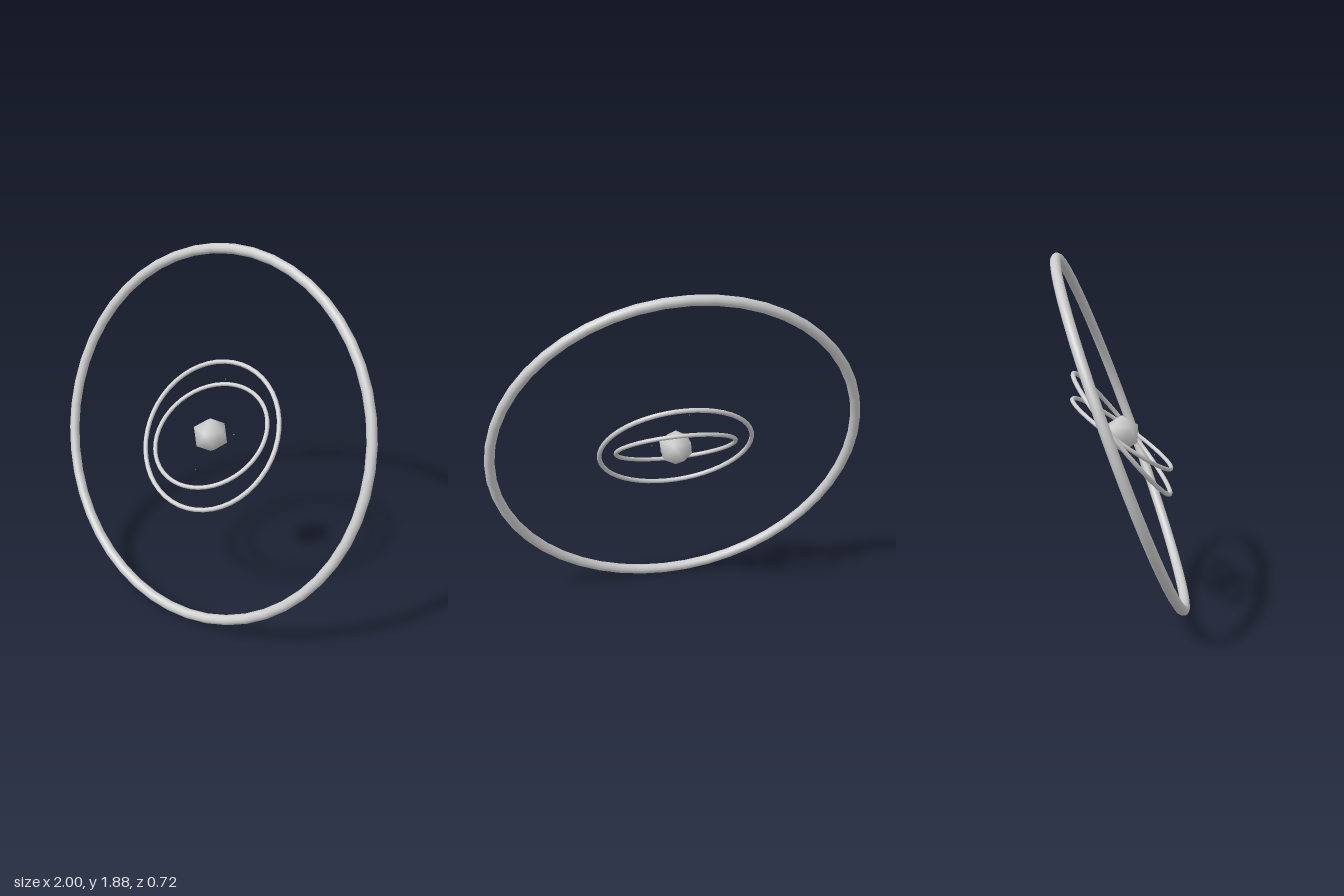
import * as THREE from 'three';

const CENTER_Y = 0.944;

export function createModel() {
  const model = new THREE.Group();
  model.name = 'orbitModel';
  const grey = new THREE.MeshStandardMaterial({ color: 0xcccccc });
  grey.name = 'light grey';

  const add = (name, geometry, x = 0, y = 0, z = 0) => {
    const mesh = new THREE.Mesh(geometry, grey);
    mesh.name = name;
    mesh.position.set(x, CENTER_Y + y, z);
    model.add(mesh);
    return mesh;
  };

  // Rings sharing one centre, each leaning back by its own angle
  const rings = [
    ['outerRing', 0.971, 0.027, 20.2],
    ['middleRing', 0.404, 0.012, 39],
    ['innerRing', 0.316, 0.011, 55],
  ];
  for (const [name, radius, tube, lean] of rings) {
    const ring = add(name, new THREE.TorusGeometry(radius, tube, 12, 48));
    ring.rotation.x = -THREE.MathUtils.degToRad(lean);
  }

  // Core: icosahedron standing on a corner, with smooth normals
  const core = new THREE.IcosahedronGeometry(0.097, 0);
  core.rotateZ(Math.atan(2 / (1 + Math.sqrt(5)))); // corner to the top
  core.rotateY(Math.PI);
  const p = core.attributes.position;
  const n = new THREE.Vector3();
  for (let i = 0; i < p.count; i++) {
    n.fromBufferAttribute(p, i).normalize();
    core.attributes.normal.setXYZ(i, n.x, n.y, n.z);
  }
  add('core', core);

  // Tiny motes floating around the core
  const motes = [[-0.038, 0.25, -0.165], [0.133, 0.035, -0.03], [0.04, -0.12, 0.17]];
  for (const at of motes) add('mote', new THREE.OctahedronGeometry(0.003), ...at);

  return model;
}
